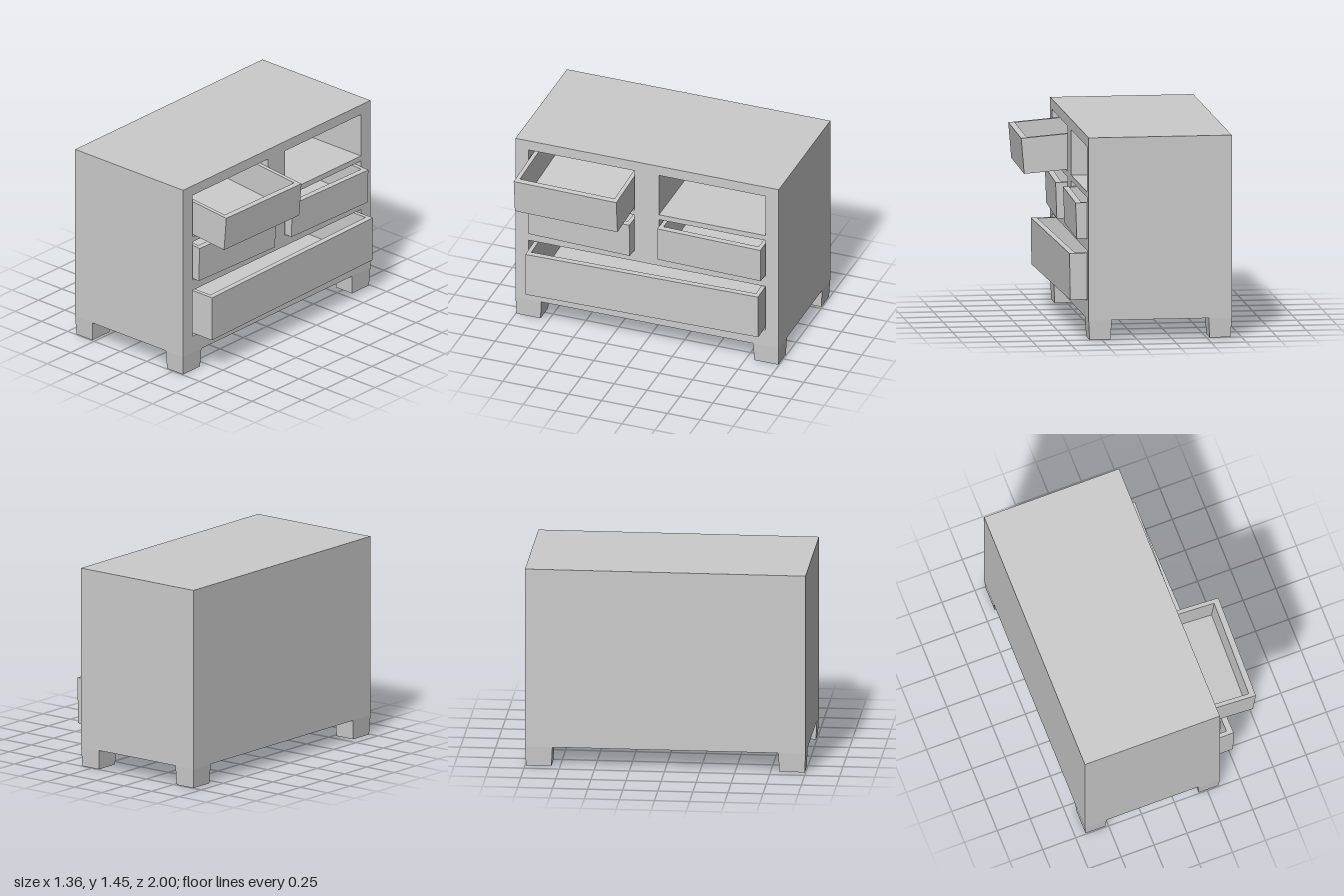
import * as THREE from 'three';

const material = new THREE.MeshStandardMaterial({ color: 0xcccccc, flatShading: true });

const BACK = -0.68, FRONT = 0.345, BASE = 0.14, TOP = 1.45, HALF = 1;
const BACK_PANEL = 0.06;

// Closed rectangle from corner (x0, y0) to (x1, y1)
function rect(Type, x0, y0, x1, y1) {
  const path = new Type();
  path.moveTo(x0, y0).lineTo(x1, y0).lineTo(x1, y1).lineTo(x0, y1).closePath();
  return path;
}

function addMesh(parent, name, geometry) {
  const mesh = new THREE.Mesh(geometry, material);
  mesh.name = name;
  parent.add(mesh);
  return mesh;
}

// Tray with its origin at the bottom centre of its front face, front facing +x
function makeDrawer({ name, width, height, at, yaw, pitch }) {
  const length = 0.92, front = 0.043, side = 0.03, floor = 0.03;
  const drawer = new THREE.Group();
  drawer.name = name;

  const outline = rect(THREE.Shape, -length, -width / 2, 0, width / 2);
  outline.holes.push(rect(THREE.Path, -length + front, -width / 2 + side, -front, width / 2 - side));
  const walls = new THREE.ExtrudeGeometry(outline, { depth: height, bevelEnabled: false });
  walls.rotateX(-Math.PI / 2);
  addMesh(drawer, name + 'Walls', walls);

  const base = new THREE.BoxGeometry(length - 0.002, floor, width - 0.002);
  addMesh(drawer, name + 'Floor', base).position.set(-length / 2, floor / 2 + 0.001, 0);

  drawer.position.set(...at);
  drawer.rotation.set(0, yaw, -pitch, 'YZX');
  return drawer;
}

// Block foot, narrower at the ground
function makeLeg() {
  const geometry = new THREE.BoxGeometry(0.165, BASE, 0.195);
  const p = geometry.attributes.position;
  for (let i = 0; i < p.count; i++) {
    if (p.getY(i) < 0) p.setXYZ(i, p.getX(i) * 0.91, p.getY(i), p.getZ(i) * 0.93);
  }
  geometry.computeVertexNormals();
  return geometry;
}

export function createModel() {
  const model = new THREE.Group();
  model.name = 'chestOfDrawers';

  // Carcass with five drawer openings, drawn facing +x (shape x is -z)
  const face = rect(THREE.Shape, -HALF, BASE, HALF, TOP);
  const openings = [
    [-0.9, 0.27, 0.9, 0.63],
    [-0.9, 0.71, -0.095, 1.01],
    [0.09, 0.71, 0.9, 1.01],
    [-0.9, 1.05, -0.095, 1.375],
    [0.09, 1.05, 0.9, 1.375],
  ];
  for (const o of openings) face.holes.push(rect(THREE.Path, ...o));
  const carcass = new THREE.ExtrudeGeometry(face, { depth: FRONT - BACK - BACK_PANEL, bevelEnabled: false });
  carcass.rotateY(Math.PI / 2);
  addMesh(model, 'carcass', carcass).position.x = BACK + BACK_PANEL;

  const back = new THREE.BoxGeometry(BACK_PANEL, TOP - BASE, 2 * HALF);
  addMesh(model, 'backPanel', back).position.set(BACK + BACK_PANEL / 2, (TOP + BASE) / 2, 0);

  // Four feet at the corners
  for (const [end, x] of [['front', FRONT - 0.0825], ['back', BACK + 0.0825]]) {
    for (const [label, s] of [['Left', 1], ['Right', -1]]) {
      addMesh(model, end + label + 'Leg', makeLeg()).position.set(x, BASE / 2, s * (HALF - 0.0975));
    }
  }

  // Crooked, half-open drawers; one top opening stays empty
  const drawers = [
    { name: 'bottomDrawer', width: 1.755, height: 0.333, at: [0.48, 0.274, -0.012], yaw: 0.02, pitch: 0.013 },
    { name: 'middleDrawerA', width: 0.78, height: 0.258, at: [0.405, 0.711, 0.493], yaw: -0.04, pitch: 0.035 },
    { name: 'middleDrawerB', width: 0.79, height: 0.258, at: [0.405, 0.711, -0.495], yaw: -0.025, pitch: 0.035 },
    { name: 'topDrawer', width: 0.785, height: 0.256, at: [0.646, 1.036, 0.5], yaw: -0.02, pitch: 0.085 },
  ];
  for (const d of drawers) model.add(makeDrawer(d));

  return model;
}
